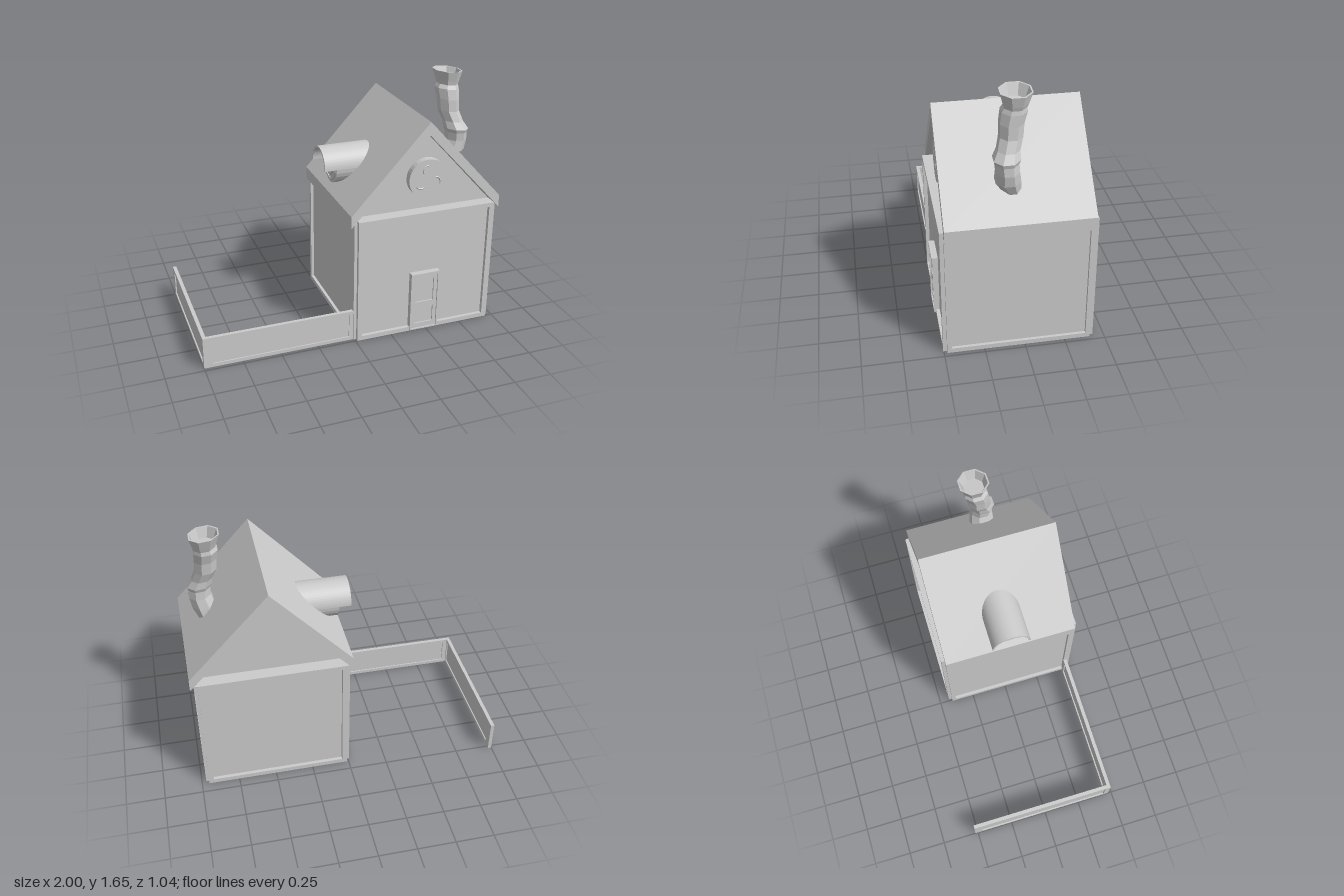
import * as THREE from 'three';

const mat = new THREE.MeshStandardMaterial({ color: 0xcccccc, flatShading: true });
const matDouble = new THREE.MeshStandardMaterial({ color: 0xcccccc, flatShading: true, side: THREE.DoubleSide });

function add(parent, name, geometry, x = 0, y = 0, z = 0, material = mat) {
  const mesh = new THREE.Mesh(geometry, material);
  mesh.name = name;
  mesh.position.set(x, y, z);
  parent.add(mesh);
  return mesh;
}

// Box given by its limits
function box(parent, name, x0, x1, y0, y1, z0, z1) {
  return add(parent, name, new THREE.BoxGeometry(x1 - x0, y1 - y0, z1 - z0),
    (x0 + x1) / 2, (y0 + y1) / 2, (z0 + z1) / 2);
}

function polygon(points) {
  return new THREE.Shape(points.map(([x, y]) => new THREE.Vector2(x, y)));
}

const rect = (x0, x1, y0, y1) => [[x0, y0], [x1, y0], [x1, y1], [x0, y1]];

function extrude(shape, depth, curveSegments = 12) {
  return new THREE.ExtrudeGeometry(shape, { depth, bevelEnabled: false, curveSegments });
}

// Slab centred on x and z, standing on y = 0, with rectangular openings
function frame(w, h, depth, openings) {
  const shape = polygon(rect(-w / 2, w / 2, 0, h));
  openings.forEach((o) => shape.holes.push(polygon(rect(...o))));
  return extrude(shape, depth).translate(0, 0, -depth / 2);
}

// Loft of octagonal rings [x, y, z, radius], closed at the last ring
function loft(rings, sides, tilt) {
  const pos = [];
  const index = [];
  rings.forEach(([x, y, z, r]) => {
    for (let i = 0; i < sides; i++) {
      const a = ((i + 0.5) / sides) * Math.PI * 2;
      const dx = r * Math.cos(a);
      pos.push(x + dx, y - dx * tilt, z + r * Math.sin(a));
    }
  });
  for (let k = 0; k < rings.length - 1; k++) {
    for (let i = 0; i < sides; i++) {
      const a = k * sides + i;
      const b = k * sides + ((i + 1) % sides);
      index.push(a, a + sides, b, b, a + sides, b + sides);
    }
  }
  const last = (rings.length - 1) * sides;
  for (let i = 1; i < sides - 1; i++) index.push(last, last + i + 1, last + i);
  const g = new THREE.BufferGeometry();
  g.setAttribute('position', new THREE.Float32BufferAttribute(pos, 3));
  g.setIndex(index);
  g.computeVertexNormals();
  return g;
}

function buildWalls() {
  const g = new THREE.Group();
  g.name = 'walls';
  box(g, 'wallCore', 0.012, 0.953, 0, 0.855, -0.41, 0.48);
  const endFrame = frame(0.941, 0.855, 0.024, [[-0.438, 0.438, 0.03, 0.826]]);
  add(g, 'frontFrame', endFrame, 0.4825, 0, 0.492);
  add(g, 'backFrame', endFrame, 0.4825, 0, -0.421);
  const sideFrame = frame(0.89, 0.838, 0.022, [[-0.417, 0.417, 0.03, 0.8]]).rotateY(Math.PI / 2);
  add(g, 'leftFrame', sideFrame, 0.961, 0, 0.035);
  add(g, 'rightFrame', sideFrame, 0.003, 0, 0.035);
  return g;
}

function buildRoof() {
  const g = new THREE.Group();
  g.name = 'roof';
  const section = polygon([[-0.03, 0.808], [0.013, 0.855], [0.485, 1.362], [0.957, 0.855],
    [1, 0.808], [1, 0.89], [0.485, 1.45], [-0.03, 0.89]]);
  add(g, 'roofSlopes', extrude(section, 0.89), 0, 0, -0.41);
  const gable = polygon([[0.013, 0.85], [0.957, 0.85], [0.485, 1.364]]);
  add(g, 'gables', extrude(gable, 0.77), 0, 0, -0.35);
  return g;
}

function buildRoundPlaque() {
  const g = new THREE.Group();
  g.name = 'roundPlaque';
  g.position.set(0.49, 1.07, 0.42);
  add(g, 'disc', new THREE.CylinderGeometry(0.13, 0.13, 0.045, 32).rotateX(Math.PI / 2), 0, 0, 0.0225);
  // Three shallow curved ridges
  for (let i = 0; i < 3; i++) {
    const a = Math.PI / 2 + (i * Math.PI * 2) / 3;
    const ridge = add(g, 'ridge', new THREE.TorusGeometry(0.035, 0.005, 4, 10, 2),
      0.055 * Math.cos(a), 0.055 * Math.sin(a), 0.045);
    ridge.rotation.z = a;
  }
  return g;
}

function buildDoor() {
  const g = new THREE.Group();
  g.name = 'door';
  g.position.set(0.48, 0.008, 0);
  add(g, 'doorFrame', frame(0.2, 0.42, 0.036, [[-0.09, 0.09, 0.008, 0.4]]), 0, 0, 0.498);
  add(g, 'doorLeaf', frame(0.184, 0.4, 0.025,
    [[-0.065, 0.065, 0.04, 0.16], [-0.065, 0.065, 0.2, 0.37]]), 0, 0.003, 0.4945);
  box(g, 'doorPanels', -0.08, 0.08, 0.02, 0.39, 0.48, 0.498);
  box(g, 'lintel', -0.1, 0.1, 0.402, 0.42, 0.48, 0.52);
  return g;
}

// Round vent in the right roof slope, with a half-round hood
function buildVent() {
  const g = new THREE.Group();
  g.name = 'roofVent';
  g.position.set(0, 1.073, 0.022);
  const body = new THREE.CylinderGeometry(0.124, 0.124, 0.36, 28).rotateZ(Math.PI / 2);
  add(g, 'ventBody', body, 0.175, 0, 0);
  const half = new THREE.Shape();
  half.absarc(0, 0, 0.127, 0, Math.PI, false);
  half.absarc(0, 0, 0.115, Math.PI, 0, true);
  add(g, 'ventHood', extrude(half, 0.4, 14).rotateY(Math.PI / 2), -0.085, 0, 0);
  [0.1, 0.06].forEach((r) =>
    add(g, 'ventRing', new THREE.TorusGeometry(r, 0.009, 5, 24).rotateY(Math.PI / 2), -0.005, 0, 0));
  add(g, 'ventHub', new THREE.CylinderGeometry(0.025, 0.025, 0.02, 12).rotateZ(Math.PI / 2), -0.008, 0, 0);
  return g;
}

// Crooked stovepipe with a flared mouth; the last two rings form the inside
function buildChimney() {
  const rings = [
    [0.825, 1.02, 0.06, 0.055], [0.84, 1.1, 0.09, 0.08], [0.86, 1.17, 0.095, 0.073],
    [0.857, 1.225, 0.1, 0.074], [0.855, 1.25, 0.1, 0.084], [0.835, 1.3, 0.087, 0.07],
    [0.808, 1.37, 0.068, 0.072], [0.803, 1.45, 0.065, 0.075], [0.797, 1.52, 0.05, 0.08],
    [0.802, 1.545, 0.045, 0.07], [0.803, 1.57, 0.043, 0.078], [0.8, 1.637, 0.041, 0.1],
    [0.8, 1.637, 0.041, 0.09], [0.803, 1.57, 0.043, 0.066],
  ];
  return loft(rings, 8, 0.1);
}

function buildFence() {
  const g = new THREE.Group();
  g.name = 'fence';
  const run = (name, length) => {
    const part = new THREE.Group();
    part.name = name;
    const w = length / 2;
    add(part, 'fenceFrame', frame(length, 0.213, 0.024, [[-w + 0.055, w - 0.035, 0.024, 0.19]]));
    box(part, 'fencePanel', -w + 0.04, w - 0.02, 0.015, 0.2, -0.004, 0.004);
    g.add(part);
    return part;
  };
  run('frontRun', 1.0).position.set(-0.5, 0, 0.462);
  const side = run('sideRun', 0.994);
  side.rotation.y = -Math.PI / 2;
  side.scale.x = 1;
  side.position.set(-0.988, 0, -0.023);
  return g;
}

export function createModel() {
  const model = new THREE.Group();
  model.name = 'cottage';
  model.add(buildWalls(), buildRoof(), buildRoundPlaque(), buildDoor(), buildVent(), buildFence());
  add(model, 'chimney', buildChimney(), 0, 0, 0, matDouble);
  return model;
}
